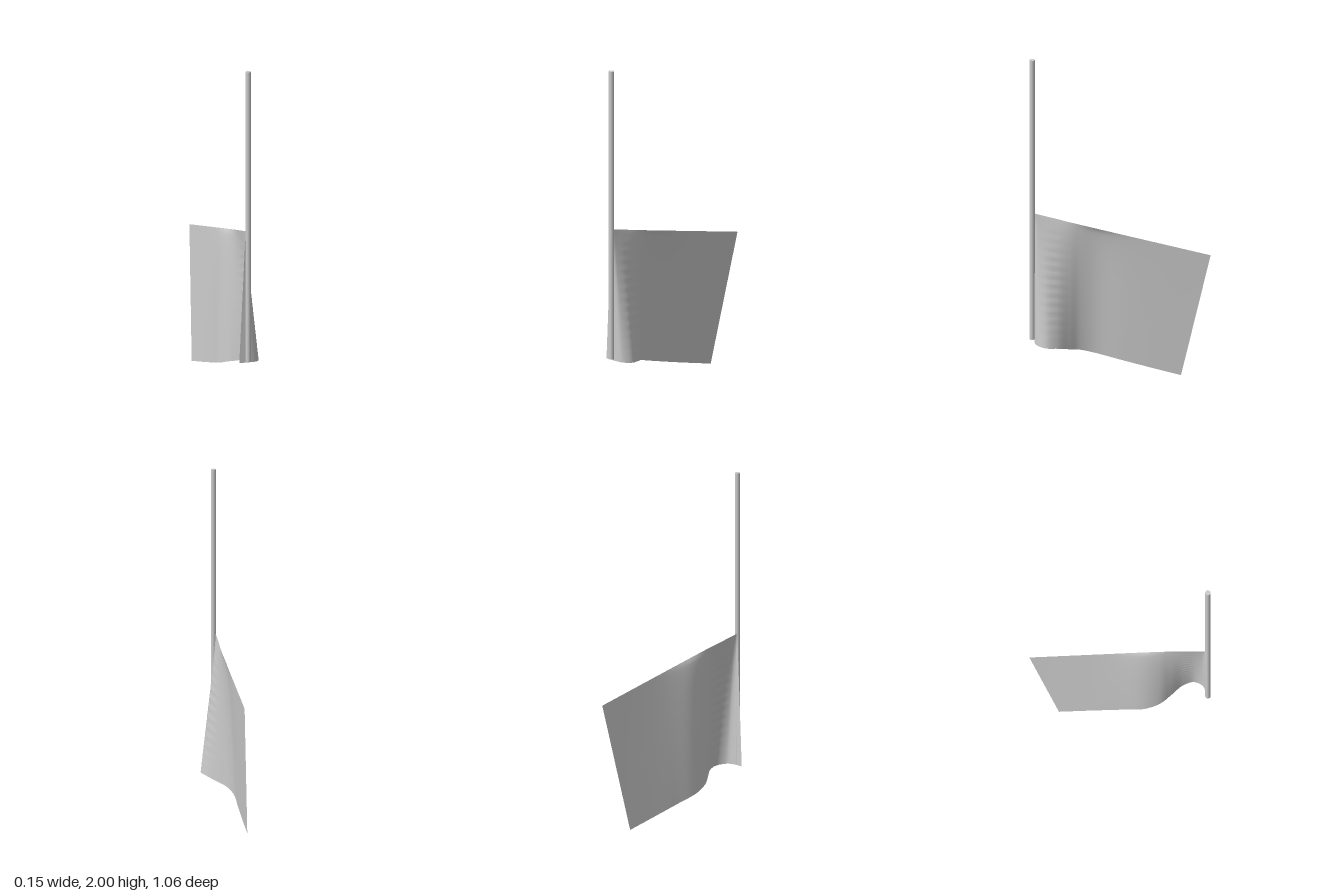
import * as THREE from 'three';

const curve = pts => new THREE.CatmullRomCurve3(pts.map(p => new THREE.Vector3(...p)));

export function createModel() {
  const group = new THREE.Group();
  const grey = new THREE.MeshStandardMaterial({ color: 0xcccccc });
  const clothGrey = new THREE.MeshStandardMaterial({ color: 0xcccccc, side: THREE.DoubleSide });

  // Upright pole
  const pole = new THREE.Mesh(new THREE.CylinderGeometry(0.016, 0.016, 1.765, 16), grey);
  pole.name = 'pole';
  pole.position.set(-0.018, 1.1175, 0.515);
  group.add(pole);

  // Hems of the cloth: nearly straight on top, S-shaped fold at the bottom
  const topY = z => 1.025 - 0.245 * (0.503 - z) / 1.033;
  const topHem = curve([
    [-0.03, 0.503], [-0.028, 0.498], [-0.027, 0.485], [-0.026, 0.435], [-0.024, 0.37],
    [-0.02, 0.295], [-0.019, 0.235], [-0.018, 0.14], [-0.018, -0.05], [-0.018, -0.28], [-0.018, -0.53],
  ].map(([x, z]) => [x, topY(z), z]));
  const bottomHem = curve([
    [-0.07, 0.225, 0.503], [0, 0.223, 0.5], [0.045, 0.22, 0.485], [0.073, 0.213, 0.43], [0.052, 0.204, 0.365],
    [-0.005, 0.178, 0.295], [-0.047, 0.16, 0.24], [-0.074, 0.13, 0.15], [-0.071, 0.09, 0], [-0.067, 0.045, -0.175], [-0.065, 0, -0.355],
  ]);

  // Cloth sheet blended between the two hems
  const geometry = new THREE.PlaneGeometry(1, 1, 100, 48);
  const pos = geometry.attributes.position;
  const uv = geometry.attributes.uv;
  const a = new THREE.Vector3(), b = new THREE.Vector3();
  for (let i = 0; i < pos.count; i++) {
    const u = uv.getX(i), v = 1 - uv.getY(i);
    topHem.getPoint(u, a);
    bottomHem.getPoint(u, b);
    const z = a.z + (b.z - a.z) * v;
    // the hollow behind the fold deepens quickly below the top hem
    const power = 1 - 0.5 * Math.exp(-(((z - 0.15) / 0.2) ** 2));
    // faint wrinkles across the fold
    const ripple = 0.002 * Math.sin(v * 90) * Math.sin(Math.PI * v) * Math.exp(-(((z - 0.39) / 0.06) ** 2));
    pos.setXYZ(i, a.x + (b.x - a.x) * v ** power + ripple, a.y + (b.y - a.y) * v, z);
  }
  geometry.computeVertexNormals();
  const cloth = new THREE.Mesh(geometry, clothGrey);
  cloth.name = 'flagCloth';
  group.add(cloth);

  return group;
}
